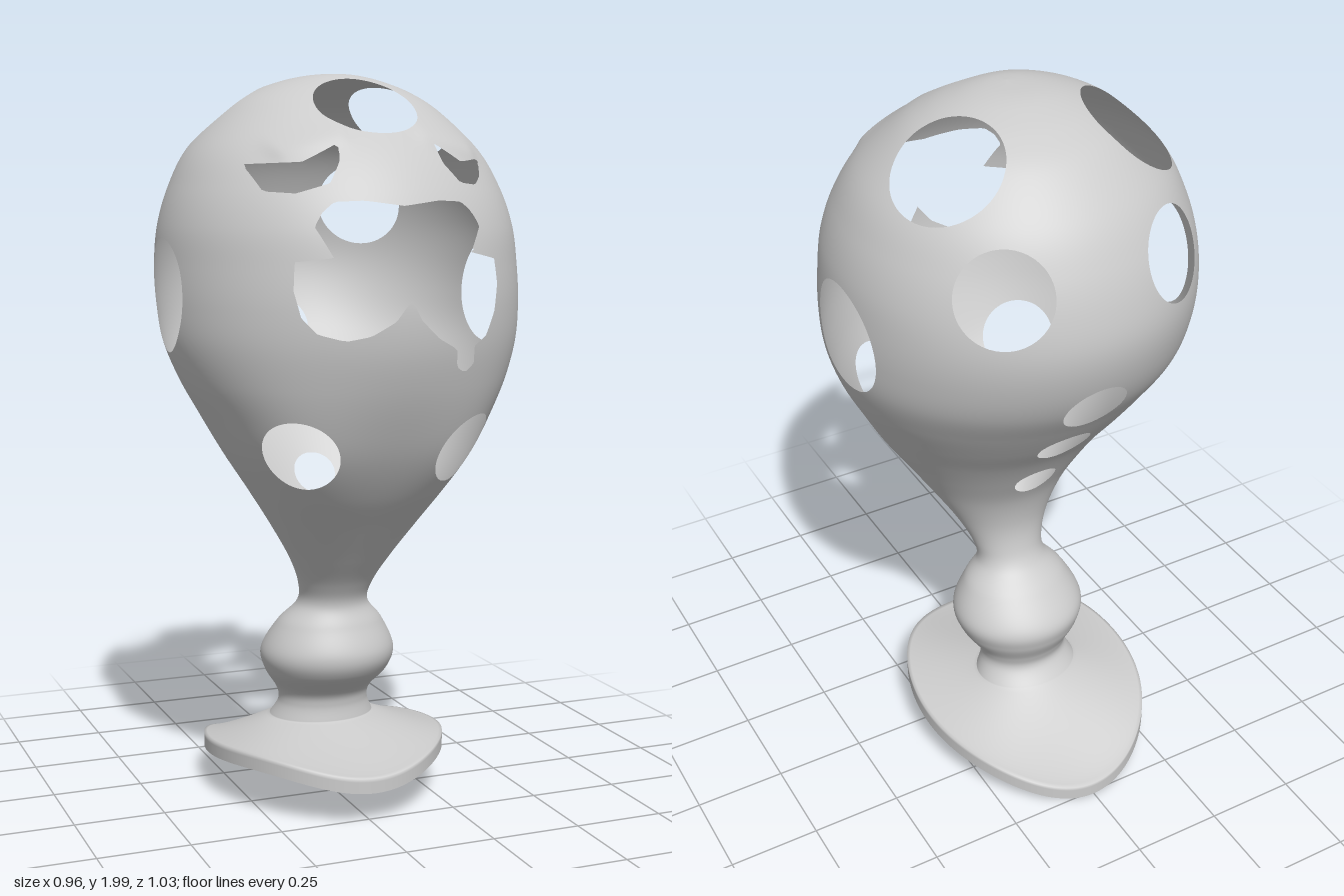
import * as THREE from 'three';
import { mergeVertices } from 'three/addons/utils/BufferGeometryUtils.js';

// Body cross-sections from crown to ankle: [y, half width, front z, back z]
const RINGS = [
  [2, 0, 0, 0], [1.995, 0.07, 0.05, -0.09], [1.98, 0.14, 0.1, -0.16], [1.95, 0.22, 0.168, -0.24],
  [1.9, 0.297, 0.248, -0.322], [1.8, 0.393, 0.365, -0.415], [1.7, 0.445, 0.44, -0.47],
  [1.6, 0.475, 0.485, -0.502], [1.5, 0.485, 0.505, -0.513], [1.4, 0.486, 0.512, -0.495],
  [1.3, 0.475, 0.502, -0.453], [1.2, 0.441, 0.474, -0.383], [1.1, 0.39, 0.433, -0.308],
  [1, 0.335, 0.382, -0.228], [0.9, 0.27, 0.315, -0.163], [0.8, 0.205, 0.232, -0.109],
  [0.7, 0.143, 0.15, -0.083], [0.62, 0.106, 0.088, -0.086], [0.56, 0.101, 0.062, -0.11],
  [0.5, 0.15, 0.082, -0.172], [0.42, 0.189, 0.11, -0.235], [0.36, 0.176, 0.088, -0.232],
  [0.3, 0.137, 0.02, -0.205], [0.26, 0.13, 0.004, -0.2], [0.215, 0.15, 0.008, -0.235],
];

// Round openings: [x, y, z, radius]; those off the midline are mirrored
const ROUND = [
  [0, 1.92, 0.22, 0.138], [0.48, 1.42, -0.015, 0.15], [0.235, 1.02, 0.345, 0.106],
  [0.258, 1.895, -0.165, 0.148], [0.24, 1.655, -0.415, 0.122],
  [0, 1.3, -0.453, 0.088], [0, 1.1, -0.308, 0.075], [0, 0.9, -0.163, 0.061],
];
const SPHERES = ROUND.flatMap(([x, y, z, r]) => (x ? [1, -1] : [1]).map((s) => [x * s, y, z, r]));

// Face openings, outlined in x and y on the front
const EYE_R = [[-0.34, 1.757], [-0.22, 1.762], [-0.125, 1.81], [-0.135, 1.765], [-0.17, 1.71], [-0.25, 1.685], [-0.315, 1.69]];
const EYE_L = [[0.135, 1.81], [0.21, 1.765], [0.29, 1.775], [0.27, 1.73], [0.24, 1.707], [0.185, 1.712], [0.145, 1.76]];
const MOUTH = [
  [-0.17, 1.665], [-0.1, 1.668], [0, 1.655], [0.1, 1.668], [0.17, 1.665], [0.2, 1.64], [0.222, 1.605],
  [0.183, 1.54], [0.27, 1.522], [0.278, 1.46], [0.265, 1.39], [0.235, 1.33], [0.195, 1.305],
  [0.198, 1.26], [0.17, 1.238], [0.142, 1.255], [0.138, 1.3], [0.08, 1.33], [0.03, 1.375],
  [0, 1.428], [-0.04, 1.375], [-0.1, 1.34], [-0.16, 1.328], [-0.225, 1.345], [-0.26, 1.385],
  [-0.275, 1.45], [-0.27, 1.52], [-0.185, 1.53], [-0.222, 1.605], [-0.2, 1.64],
];
const FACE = [EYE_R, EYE_L, MOUTH];

function segmentDistance(x, y, [ax, ay], [bx, by]) {
  const dx = bx - ax, dy = by - ay;
  const t = THREE.MathUtils.clamp(((x - ax) * dx + (y - ay) * dy) / (dx * dx + dy * dy), 0, 1);
  return Math.hypot(x - ax - t * dx, y - ay - t * dy);
}

// Signed distance to an outline, negative inside
function outlineDistance(x, y, outline) {
  let d = Infinity, inside = false;
  outline.forEach((a, i) => {
    const b = outline[(i + 1) % outline.length];
    d = Math.min(d, segmentDistance(x, y, a, b));
    if (a[1] > y !== b[1] > y && x < a[0] + ((y - a[1]) * (b[0] - a[0])) / (b[1] - a[1])) inside = !inside;
  });
  return inside ? -d : d;
}

// Positive on solid shell, negative within any opening
function solid(p) {
  let d = 1;
  for (const [x, y, z, r] of SPHERES) d = Math.min(d, Math.hypot(p.x - x, p.y - y, p.z - z) - r);
  if (p.z > 0 && p.y > 1.15) for (const outline of FACE) d = Math.min(d, outlineDistance(p.x, p.y, outline));
  return d;
}

const section = (w, zf, zb, angle, y) =>
  new THREE.Vector3(w * Math.sin(angle), y, (zf + zb) / 2 + ((zf - zb) / 2) * Math.cos(angle));

// Smooth interpolation of the body cross-sections
const widthCurve = new THREE.SplineCurve(RINGS.map((r) => new THREE.Vector2(r[0], r[1])));
const depthCurve = new THREE.SplineCurve(RINGS.map((r) => new THREE.Vector2(r[2], r[3])));

function bodyPoint(v, angle) {
  const a = widthCurve.getPoint(v), b = depthCurve.getPoint(v);
  const p = section(Math.max(a.y, 0), b.x, b.y, angle, a.x);
  if (Math.cos(angle) > 0) {
    // fuller cheeks below the mouth
    p.z += 0.028 * Math.sin(2 * angle) ** 2 * Math.exp(-(((a.x - 1.03) / 0.18) ** 2));
    // low brow ridge above each eye
    const d = segmentDistance(Math.abs(p.x), p.y, [0.26, 1.795], [0.12, 1.835]);
    p.z += 0.012 * Math.exp(-((d / 0.028) ** 2));
  }
  return p;
}

// Foot flares from the ankle to a drooping, arched rim with a short upright edge
function footPoint(v, angle) {
  const mix = THREE.MathUtils.lerp, c = Math.cos(angle);
  const s = Math.min(v / FOOT_EDGE, 1), drop = Math.max(v - FOOT_EDGE, 0) / (1 - FOOT_EDGE);
  const rim = 0.165 + 0.045 * c - 0.065 * c ** 4;
  const y = rim + (0.215 - rim) * (1 - s) ** 1.25 - 0.042 * drop;
  return section(mix(0.15, 0.33, s), mix(0.008, 0.3, s), mix(-0.235, -0.51, s), angle, y);
}

// Shares of the rows: body above ANKLE, foot below it, upright edge after FOOT_EDGE
const ANKLE = 0.9, FOOT_EDGE = 22 / 26;
const figurePoint = (v, angle) =>
  v <= ANKLE ? bodyPoint(v / ANKLE, angle) : footPoint((v - ANKLE) / (1 - ANKLE), angle);

// Builds a closed-around surface and trims its triangles where keep() is negative
function shell(point, rows, cols, keep) {
  const grid = [];
  for (let i = 0; i <= rows; i++) {
    const row = [];
    for (let j = 0; j < cols; j++) {
      const p = point(i / rows, (j / cols) * Math.PI * 2);
      row.push({ p, f: keep(p) });
    }
    grid.push(row);
  }
  const positions = [];
  const addTriangle = (corners) => {
    const poly = [];
    corners.forEach((a, k) => {
      const b = corners[(k + 1) % 3];
      if (a.f >= 0) poly.push(a.p);
      if (a.f >= 0 !== b.f >= 0) poly.push(a.p.clone().lerp(b.p, a.f / (a.f - b.f)));
    });
    for (let k = 1; k + 1 < poly.length; k++)
      for (const q of [poly[0], poly[k], poly[k + 1]]) positions.push(q.x, q.y, q.z);
  };
  for (let i = 0; i < rows; i++)
    for (let j = 0; j < cols; j++) {
      const n = (j + 1) % cols;
      const a = grid[i][j], b = grid[i + 1][j], c = grid[i + 1][n], d = grid[i][n];
      addTriangle([a, b, c]);
      if (a.p.distanceTo(d.p) > 1e-6) addTriangle([a, c, d]);
    }
  const geometry = new THREE.BufferGeometry();
  geometry.setAttribute('position', new THREE.Float32BufferAttribute(positions, 3));
  const merged = mergeVertices(geometry, 1e-5);
  merged.computeVertexNormals();
  return merged;
}

export function createModel() {
  const group = new THREE.Group();
  group.name = 'perforatedFigure';
  const material = new THREE.MeshStandardMaterial({ color: 0xcccccc, side: THREE.DoubleSide });
  const body = new THREE.Mesh(shell(figurePoint, 260, 192, solid), material);
  body.name = 'headNeckAndFoot';
  group.add(body);
  return group;
}
